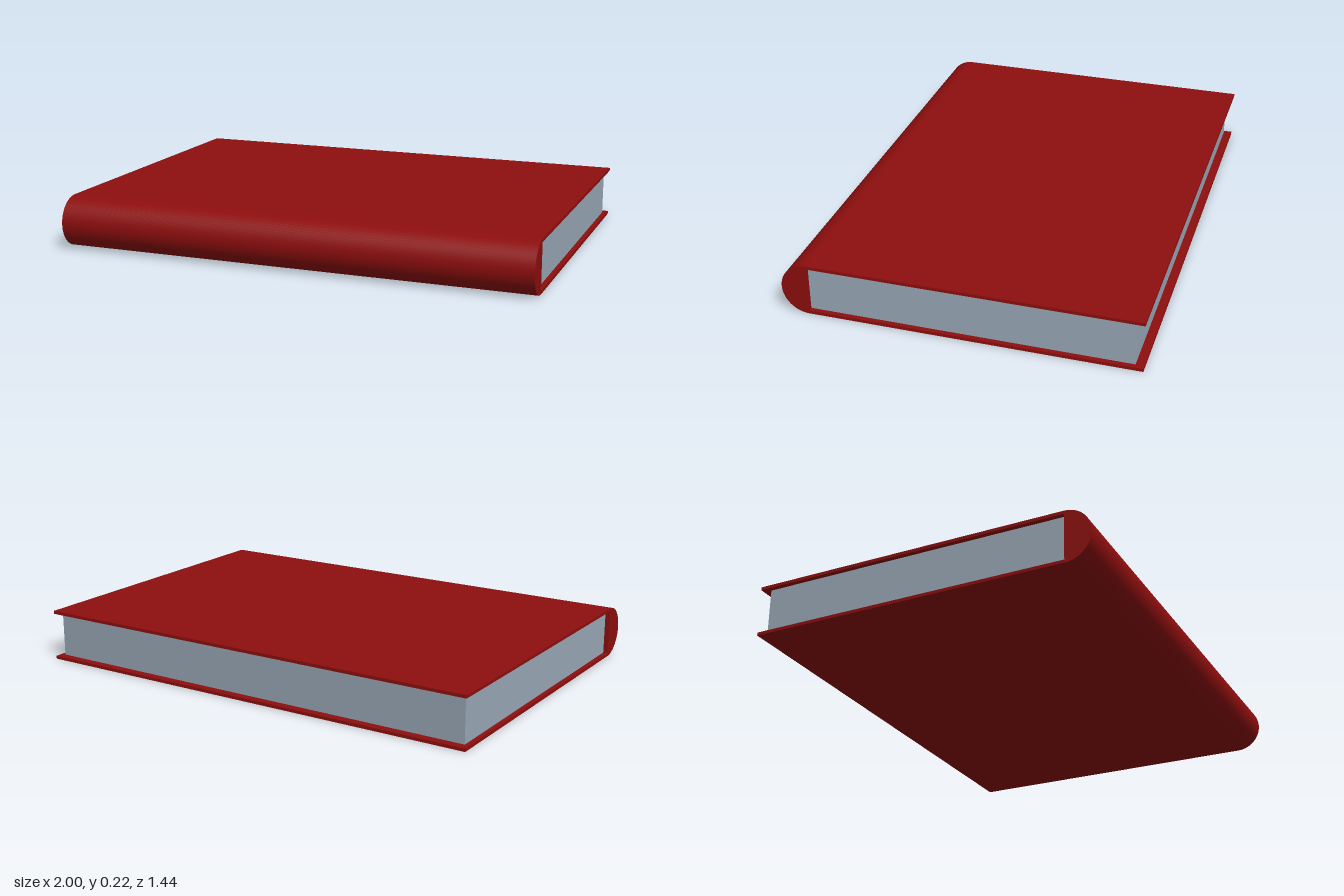
import * as THREE from 'three';

export function createModel() {
  const book = new THREE.Group();
  book.name = 'book';

  const red = new THREE.MeshStandardMaterial({ color: 0x8e0e0e });
  const paper = new THREE.MeshStandardMaterial({ color: 0x9aa9b7 });

  const length = 2, height = 0.216, board = 0.013;
  const back = -0.72, hinge = 0.612, radius = height / 2;

  const add = (name, geometry, material, y, z) => {
    const mesh = new THREE.Mesh(geometry, material);
    mesh.name = name;
    mesh.position.set(0, y, z);
    book.add(mesh);
    return mesh;
  };

  // Two thin cover boards, overhanging the pages
  const depth = hinge - back;
  for (const [name, y] of [['bottomCover', board / 2], ['topCover', height - board / 2]]) {
    add(name, new THREE.BoxGeometry(length, board, depth), red, y, (hinge + back) / 2);
  }

  // Page block, inset at the ends and the fore edge
  const pageBack = -0.686;
  add('pages', new THREE.BoxGeometry(length - 0.04, height - 2 * board, hinge - pageBack),
    paper, height / 2, (hinge + pageBack) / 2);

  // Solid half-round spine along the front
  const spine = new THREE.CylinderGeometry(radius, radius, length, 48, 1, false, 0, Math.PI);
  spine.rotateZ(Math.PI / 2); // axis along x, bulge up
  spine.rotateX(Math.PI / 2); // bulge to the front
  add('spine', spine, red, height / 2, hinge);

  // Flat inner face of the spine, showing past the page ends
  const inner = new THREE.PlaneGeometry(length, height);
  inner.rotateY(Math.PI);
  add('spineInnerFace', inner, red, height / 2, hinge);

  return book;
}
